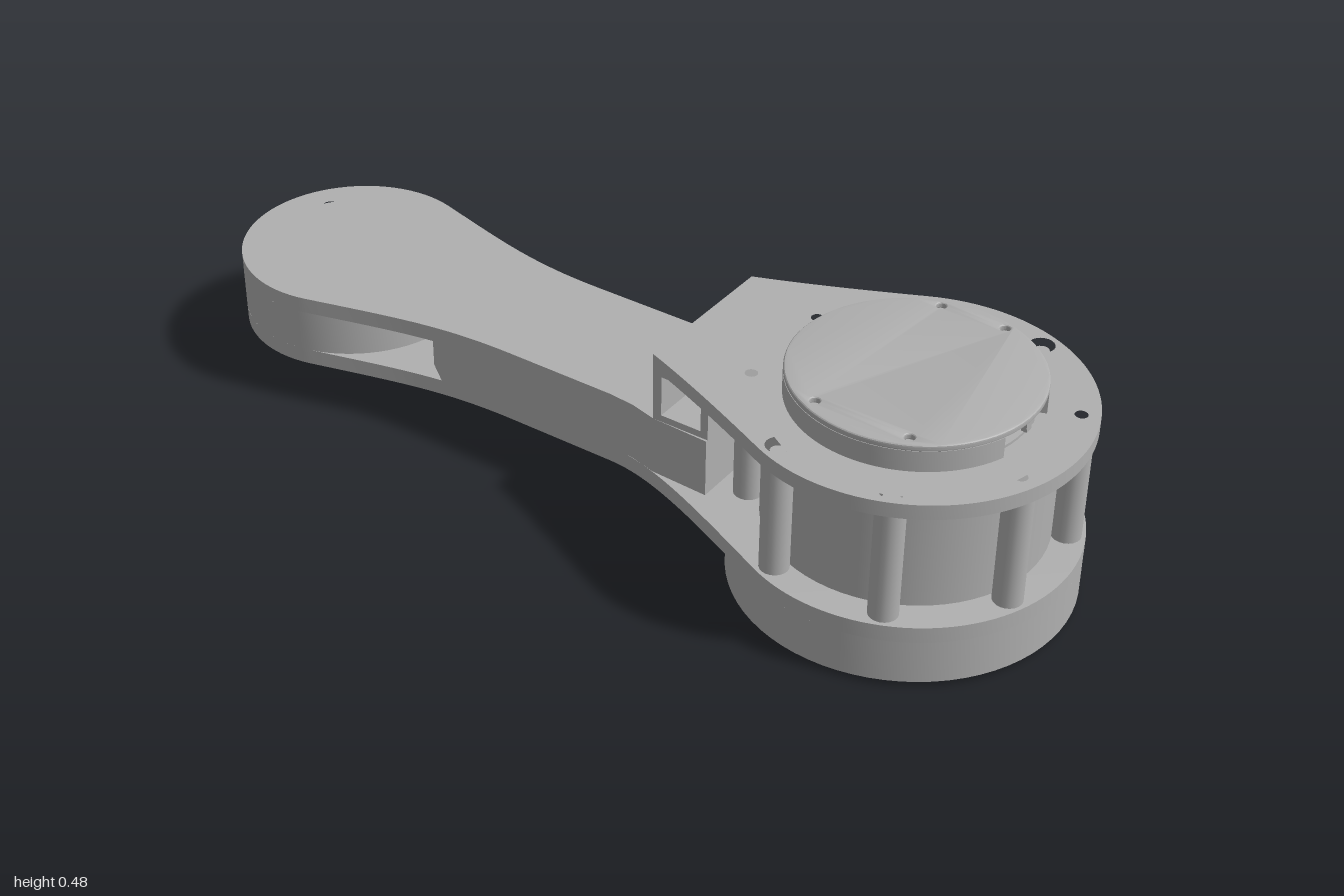
import * as THREE from 'three';
import { toCreasedNormals } from 'three/addons/utils/BufferGeometryUtils.js';

const PAD = -0.75, MOTOR = 0.65; // x centres of the two joints

// Points on a circle arc, angles in degrees
function arc(cx, r, from, to, n = 24) {
  return Array.from({ length: n + 1 }, (_, i) => {
    const a = THREE.MathUtils.degToRad(from + (to - from) * i / n);
    return new THREE.Vector2(cx + r * Math.cos(a), r * Math.sin(a));
  });
}
const v = (x, y) => new THREE.Vector2(x, y);

// Closed shape from a half outline mirrored across the x axis
function mirrored(half) {
  const other = half.filter(p => Math.abs(p.y) > 1e-5).map(p => v(p.x, -p.y)).reverse();
  return new THREE.Shape([...half, ...other]);
}
function disc(cx, r) {
  return new THREE.Shape(arc(cx, r, 0, 360, 72).slice(0, -1));
}
function addHole(shape, x, z, r) {
  const p = new THREE.Path();
  p.absarc(x, -z, r, 0, Math.PI * 2, true);
  shape.holes.push(p);
}
// Ring of holes around a centre, start angle in degrees
function holeRing(shape, cx, ringR, r, count, start) {
  for (let i = 0; i < count; i++) {
    const a = THREE.MathUtils.degToRad(start + i * 360 / count);
    addHole(shape, cx + ringR * Math.cos(a), ringR * Math.sin(a), r);
  }
}
function boltPattern(shape, cx, scale = 1) {
  holeRing(shape, cx, 0.175 * scale, 0.02, 6, 30);
  holeRing(shape, cx, 0.1 * scale, 0.014, 6, 0);
  return shape;
}

export function createModel() {
  const group = new THREE.Group();
  const grey = new THREE.MeshStandardMaterial({ color: 0xb0b0b0 });
  grey.name = 'machinedGrey';

  function add(name, geometry, x = 0, y = 0, z = 0) {
    const mesh = new THREE.Mesh(geometry, grey);
    mesh.name = name;
    mesh.position.set(x, y, z);
    group.add(mesh);
    return mesh;
  }
  // Horizontal slab between two heights, optional rounded edge
  function slab(name, shape, y0, y1, bevel = 0) {
    const geo = new THREE.ExtrudeGeometry(shape, {
      depth: y1 - y0 - 2 * bevel, curveSegments: 10, bevelEnabled: bevel > 0,
      bevelThickness: bevel, bevelSize: bevel, bevelOffset: -bevel, bevelSegments: 3,
    });
    geo.rotateX(-Math.PI / 2);
    return add(name, toCreasedNormals(geo, 0.5), 0, y0 + bevel, 0);
  }

  // Shared curves of the arm outline
  const padHalf = arc(PAD, 0.25, 180, 75);
  const taper = new THREE.CubicBezierCurve(
    padHalf.at(-1), v(-0.48, 0.186), v(-0.38, 0.155), v(-0.2, 0.155)).getPoints(16);
  const motorHalf = arc(MOTOR, 0.35, 115, 0, 36);
  const flare = new THREE.CubicBezierCurve(
    v(0.05, 0.155), v(0.15, 0.155), v(0.276, 0.211), motorHalf[0]).getPoints(16);
  const bodyEnd = [v(0.05, 0.155), v(0.11, 0.16), v(0.17, 0.175), v(0.3, 0.18)];

  // Arm: lower skin, filled middle with side pockets, upper skin
  slab('armLowerPlate', boltPattern(mirrored(
    [...padHalf, ...taper.slice(1), ...flare, ...motorHalf.slice(1)]), PAD), 0.105, 0.14);
  slab('armPadCore', boltPattern(disc(PAD, 0.25), PAD), 0.14, 0.235);
  slab('armCore', mirrored([v(-0.46, 0), v(-0.455, 0.06), v(-0.43, 0.13),
    ...taper.filter(p => p.x > -0.4), ...bodyEnd]), 0.14, 0.235);
  slab('armUpperPlate', boltPattern(mirrored(
    [...padHalf, ...taper.slice(1), ...bodyEnd]), PAD), 0.235, 0.27);

  // Hollow riser that carries the upper motor plate
  const frame = new THREE.Shape([v(0.17, 0.27), v(0.3, 0.27), v(0.3, 0.39), v(0.17, 0.39)]);
  frame.holes.push(new THREE.Path(
    [v(0.19, 0.285), v(0.19, 0.375), v(0.283, 0.375), v(0.283, 0.285)]));
  add('riser', new THREE.ExtrudeGeometry(frame, { depth: 0.35, bevelEnabled: false }), 0, 0, -0.175);

  // Base housing with bolt ring, recess and output flange underneath
  const ring = disc(MOTOR, 0.35);
  addHole(ring, MOTOR, 0, 0.25);
  holeRing(ring, MOTOR, 0.305, 0.025, 8, 22.5);
  slab('baseRing', ring, 0.01, 0.105);
  slab('baseRecess', disc(MOTOR, 0.251), 0.035, 0.105);
  slab('outputFlange', boltPattern(disc(MOTOR, 0.23), MOTOR, 0.82), 0, 0.035);

  // Motor body with eight screw columns
  add('motorBody', new THREE.CylinderGeometry(0.285, 0.285, 0.25, 64), MOTOR, 0.265, 0);
  for (let i = 0; i < 8; i++) {
    const a = (i + 0.5) * Math.PI / 4;
    add('screwColumn', new THREE.CylinderGeometry(0.03, 0.03, 0.25, 20),
      MOTOR + 0.312 * Math.cos(a), 0.265, 0.312 * Math.sin(a));
  }

  // Upper motor plate with four large screws and four small holes
  const plate = mirrored([v(0.17, 0.175),
    ...new THREE.QuadraticBezierCurve(v(0.17, 0.175), v(0.3, 0.222), motorHalf[0]).getPoints(8).slice(1),
    ...motorHalf.slice(1)]);
  for (const sx of [-1, 1]) for (const sz of [-1, 1]) {
    const x = MOTOR + sx * 0.12, z = sz * 0.289;
    addHole(plate, x, z, 0.026);
    addHole(plate, MOTOR + sx * 0.289, sz * 0.12, 0.013);
    add('plateScrew', new THREE.CylinderGeometry(0.016, 0.016, 0.02, 16), x, 0.4, z);
  }
  slab('upperMotorPlate', plate, 0.39, 0.422);

  // Hollow cap: two curved walls, openings at both ends, rounded roof
  slab('capFoot', disc(MOTOR, 0.23), 0.42, 0.428);
  for (const start of [20, 200]) {
    slab('capWall', new THREE.Shape([
      ...arc(MOTOR, 0.25, start, start + 140, 40),
      ...arc(MOTOR, 0.232, start + 140, start, 40)]), 0.422, 0.467);
  }
  const roof = disc(MOTOR, 0.25);
  for (const [x, z] of [[-0.07, -0.22], [0.07, -0.22], [-0.1, 0.2], [0.1, 0.2]]) {
    addHole(roof, MOTOR + x, z, 0.01);
  }
  slab('capRoof', roof, 0.465, 0.48, 0.005);
  for (const s of [-1, 1]) {
    add('connectorTab', new THREE.BoxGeometry(0.02, 0.024, 0.03), MOTOR + s * 0.23, 0.455, -0.005);
    add('connectorPin', new THREE.BoxGeometry(0.012, 0.018, 0.018), MOTOR + s * 0.23, 0.436, -0.01);
  }
  return group;
}
